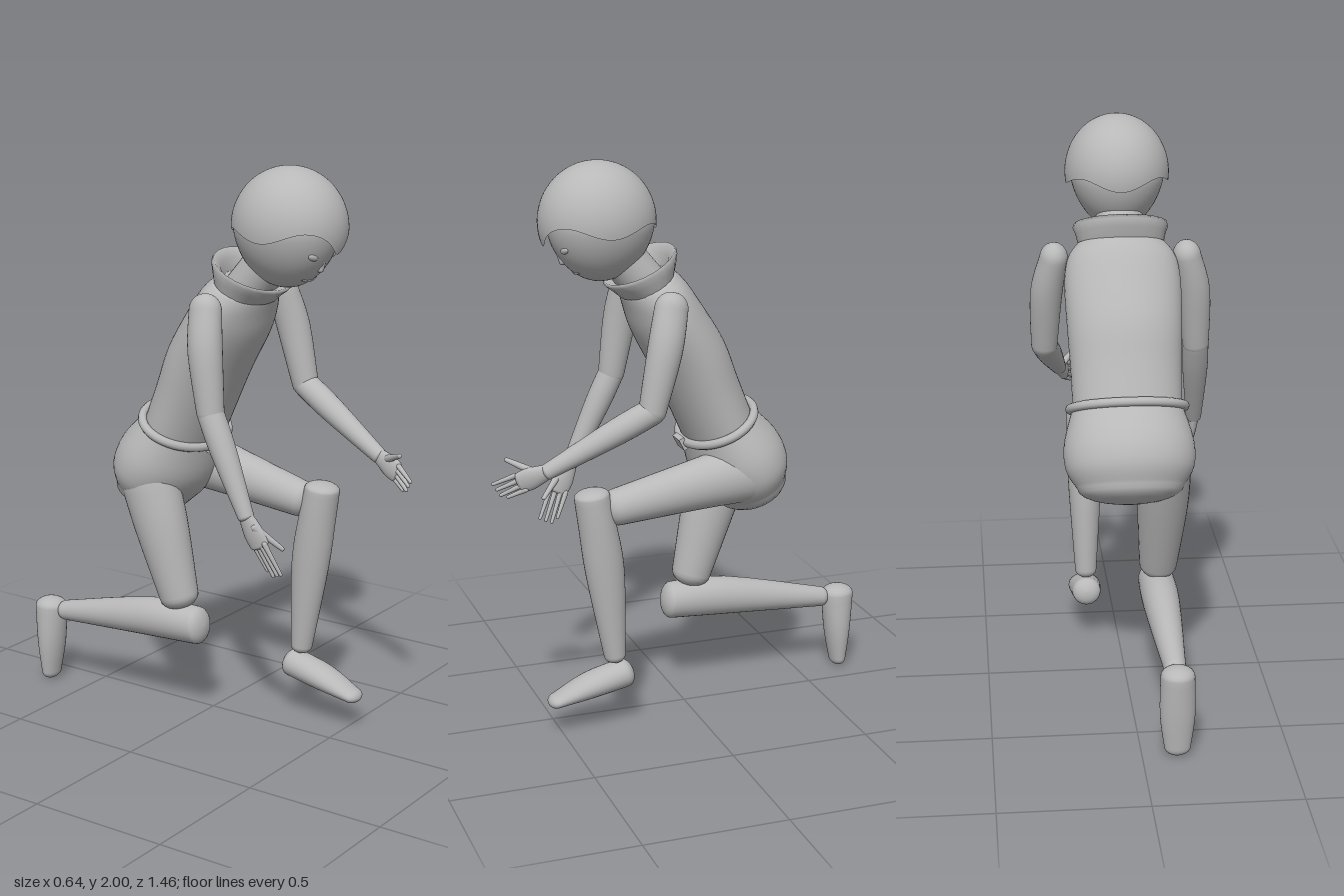
import * as THREE from 'three';
import { mergeVertices } from 'three/addons/utils/BufferGeometryUtils.js';

const V = (x, y, z) => new THREE.Vector3(x, y, z);
const UP = V(0, 0.889, 0.457);       // direction of the leaning spine
const FRONT = V(0, -0.457, 0.889);   // chest direction

// Smooth interpolation of station rows [x, y, z, radiusAcross, radiusDeep]
function refine(rows, steps) {
  const out = [];
  for (let i = 0; i < rows.length - 1; i++) {
    const [p, a, b, q] = [rows[Math.max(i - 1, 0)], rows[i], rows[i + 1], rows[Math.min(i + 2, rows.length - 1)]];
    for (let s = 0; s < steps; s++) {
      const t = s / steps;
      out.push(a.map((_, k) => 0.5 * (2 * a[k] + (b[k] - p[k]) * t + (2 * p[k] - 5 * a[k] + 4 * b[k] - q[k]) * t * t
        + (3 * a[k] - p[k] - 3 * b[k] + q[k]) * t * t * t)));
    }
  }
  out.push(rows[rows.length - 1]);
  return out;
}

// Closed body of elliptical rings with rounded ends
function loft(rows, round0, round1, { steps = 4, sides = 32, axis } = {}) {
  const first = rows[0], last = rows[rows.length - 1];
  const t = axis ? axis.clone() : V(last[0] - first[0], last[1] - first[1], last[2] - first[2]).normalize();
  const u = V(1, 0, 0).addScaledVector(t, -t.x).normalize();
  const v = t.clone().cross(u);
  const cap = (row, len) => [1, 2, 3, 4, 5, 6].map(k => {
    const a = k / 6 * Math.PI / 2, o = len * Math.sin(a), c = Math.max(Math.cos(a), 0.002);
    return [row[0] + t.x * o, row[1] + t.y * o, row[2] + t.z * o, row[3] * c, row[4] * c];
  });
  const all = [...cap(first, -round0).reverse(), ...refine(rows, steps), ...cap(last, round1)];
  const pos = [], idx = [];
  all.forEach(([x, y, z, ru, rv], i) => {
    for (let j = 0; j < sides; j++) {
      const a = j / sides * Math.PI * 2;
      const p = V(x, y, z).addScaledVector(u, ru * Math.cos(a)).addScaledVector(v, rv * Math.sin(a));
      pos.push(p.x, p.y, p.z);
      if (i < all.length - 1) {
        const A = i * sides + j, B = i * sides + (j + 1) % sides;
        idx.push(A, B, A + sides, B, B + sides, A + sides);
      }
    }
  });
  const g = new THREE.BufferGeometry();
  g.setAttribute('position', new THREE.Float32BufferAttribute(pos, 3));
  g.setIndex(idx);
  g.computeVertexNormals();
  return g;
}

// Weld a bent geometry so its shading has no seam
function weld(g) {
  g.deleteAttribute('uv');
  g.deleteAttribute('normal');
  const w = mergeVertices(g, 1e-5);
  w.computeVertexNormals();
  return w;
}

export function createModel() {
  const model = new THREE.Group();
  model.name = 'kneelingFigure';
  const grey = new THREE.MeshStandardMaterial({ color: 0xb8b8b8, side: THREE.DoubleSide });
  grey.name = 'light grey';
  const add = (name, g, parent = model) => {
    const m = new THREE.Mesh(g, grey);
    m.name = name;
    parent.add(m);
    return m;
  };
  const rod = (name, a, b, r0, r1, parent) =>
    add(name, loft([[a.x, a.y, a.z, r0, r0], [b.x, b.y, b.z, r1, r1]], r0, r1, { steps: 1, sides: 12 }), parent);

  // Trunk
  add('torso', loft([[0, 1.05, -0.12, 0.19, 0.125], [0, 1.18, -0.065, 0.193, 0.128], [0, 1.31, -0.01, 0.2, 0.132],
    [0, 1.45, 0.07, 0.204, 0.125], [0, 1.53, 0.11, 0.19, 0.112], [0, 1.57, 0.135, 0.16, 0.1]], 0.01, 0.025, { axis: UP, sides: 48 }));
  add('pelvis', loft([[0, 1.055, -0.12, 0.192, 0.128], [0, 0.95, -0.18, 0.225, 0.165], [0, 0.87, -0.225, 0.222, 0.16],
    [0, 0.81, -0.25, 0.185, 0.13]], 0.01, 0.06, { axis: UP.clone().negate(), sides: 48 }));
  add('neck', loft([[0, 1.55, 0.13, 0.09, 0.08], [0, 1.7, 0.25, 0.08, 0.075]], 0.01, 0.01));
  // Flared collar, hollow inside
  add('collar', loft([[0, 1.57, 0.14, 0.15, 0.1], [0, 1.605, 0.15, 0.158, 0.122], [0, 1.628, 0.16, 0.168, 0.137],
    [0, 1.64, 0.166, 0.164, 0.133], [0, 1.62, 0.157, 0.13, 0.1], [0, 1.585, 0.14, 0.1, 0.08]],
    0.005, 0, { axis: UP, steps: 1, sides: 24 }));

  // Belt
  const ring = Array.from({ length: 32 }, (_, i) => {
    const a = i / 32 * Math.PI * 2;
    return V(0.2 * Math.sin(a), 1.055, -0.12).addScaledVector(FRONT, 0.135 * Math.cos(a));
  });
  add('belt', new THREE.TubeGeometry(new THREE.CatmullRomCurve3(ring, true), 64, 0.016, 10, true));
  const buckle = add('buckle', new THREE.BoxGeometry(0.07, 0.045, 0.02));
  buckle.position.set(0, 0.99, 0.012);
  buckle.rotation.x = 0.475;

  // Head, narrowing towards the jaw
  const head = new THREE.Group();
  head.name = 'head';
  model.add(head);
  const jaw = h => 1 - 0.16 * Math.max(0, -h);
  const skull = new THREE.SphereGeometry(1, 48, 32);
  const sp = skull.attributes.position;
  for (let i = 0; i < sp.count; i++) {
    const y = sp.getY(i);
    sp.setXYZ(i, sp.getX(i) * 0.166 * jaw(y), 1.785 + y * 0.195, 0.3 + sp.getZ(i) * 0.186 * jaw(y * 0.6));
  }
  add('face', weld(skull), head);
  const onFace = (x, y, out = 0) => {
    const h = (y - 1.785) / 0.195;
    return V(x, y, out + 0.3 + 0.186 * jaw(h * 0.6) * Math.sqrt(Math.max(0, 1 - h * h - (x / 0.166 / jaw(h)) ** 2)));
  };

  // Hair cap with a wavy rim and a pointed fringe
  const cap = new THREE.SphereGeometry(1, 72, 24, 0, Math.PI * 2, 0, Math.PI / 2);
  const cp = cap.attributes.position;
  for (let i = 0; i < cp.count; i++) {
    const theta = Math.acos(THREE.MathUtils.clamp(cp.getY(i), -1, 1));
    const a = Math.atan2(cp.getX(i), cp.getZ(i));
    const rim = -0.08 - 0.09 * Math.cos(4 * a) - 0.2 * Math.exp(-((a / 0.25) ** 2));
    const th = theta * Math.acos(rim) / (Math.PI / 2), s = Math.sin(th);
    cp.setXYZ(i, 0.185 * s * Math.sin(a), 1.795 + 0.205 * Math.cos(th), 0.312 + 0.203 * s * Math.cos(a));
  }
  add('hair', weld(cap), head);

  // Face details
  for (const s of [-1, 1]) {
    const eye = add('eye', new THREE.SphereGeometry(1, 16, 10), head);
    eye.scale.set(0.021, 0.011, 0.008);
    eye.position.copy(onFace(s * 0.065, 1.712, -0.002));
    eye.rotation.set(0.4, s * 0.4, s * 0.2);
  }
  rod('nose', onFace(0, 1.69, -0.008), onFace(0, 1.665, -0.004), 0.008, 0.013, head);
  const lips = [-0.045, -0.02, 0, 0.02, 0.045].map(x => onFace(x, 1.622 + x * x * 4));
  add('mouth', new THREE.TubeGeometry(new THREE.CatmullRomCurve3(lips), 16, 0.004, 6), head);

  // Arms: shoulder, elbow, wrist, knuckles, fingertips, width of the hand, thumb tip
  const arms = [
    ['left', V(0.245, 1.53, 0.13), V(0.27, 1.19, 0.21), V(0.2, 0.995, 0.56), V(0.172, 0.958, 0.645), V(0.135, 0.92, 0.71),
      V(0.3, -0.8, -0.5), V(0.13, 1.03, 0.68)],
    ['right', V(-0.24, 1.53, 0.13), V(-0.273, 1.19, 0.18), V(-0.288, 0.86, 0.335), V(-0.278, 0.765, 0.385), V(-0.252, 0.66, 0.43),
      V(0.3, -0.35, -0.85), V(-0.24, 0.755, 0.45)],
  ];
  for (const [side, sh, el, wr, kn, tip, w, thumb] of arms) {
    const arm = new THREE.Group();
    arm.name = side + 'Arm';
    model.add(arm);
    const mid = sh.clone().lerp(el, 0.4);
    add('upperArm', loft([[sh.x - Math.sign(sh.x) * 0.008, sh.y, sh.z, 0.05, 0.058], [mid.x + Math.sign(sh.x) * 0.008, mid.y, mid.z, 0.057, 0.06],
      [el.x, el.y, el.z, 0.047, 0.047]], 0.055, 0.04), arm);
    const fm = el.clone().lerp(wr, 0.35);
    add('forearm', loft([[...el.toArray(), 0.046, 0.046], [...fm.toArray(), 0.045, 0.045], [...wr.toArray(), 0.028, 0.028]], 0.04, 0.015), arm);
    add('palm', loft([[...wr.toArray(), 0.02, 0.027], [...wr.clone().lerp(kn, 0.6).toArray(), 0.018, 0.04], [...kn.toArray(), 0.014, 0.038]],
      0.01, 0.012, { sides: 20 }), arm);
    for (let k = 0; k < 4; k++) {
      const o = (k - 1.5) * 0.02;
      const end = tip.clone().addScaledVector(w, o * 1.15).lerp(kn, k === 3 ? 0.2 : 0);
      rod('finger', kn.clone().addScaledVector(w, o), end, 0.0095, 0.006, arm);
    }
    rod('thumb', wr.clone().lerp(kn, 0.4).addScaledVector(w, -0.02), thumb, 0.014, 0.008, arm);
  }

  // Left leg, foot forward with the knee raised
  add('leftThigh', loft([[0.13, 0.9, -0.2, 0.095, 0.11], [0.125, 0.867, 0, 0.08, 0.09], [0.12, 0.816, 0.29, 0.064, 0.065]], 0.05, 0.05));
  add('leftShin', loft([[0.12, 0.865, 0.38, 0.063, 0.062], [0.12, 0.76, 0.362, 0.065, 0.066], [0.12, 0.58, 0.335, 0.06, 0.069],
    [0.12, 0.27, 0.303, 0.04, 0.039]], 0.025, 0.03));
  add('leftFoot', loft([[0.12, 0.195, 0.27, 0.053, 0.052], [0.12, 0.165, 0.4, 0.06, 0.045], [0.12, 0.125, 0.52, 0.045, 0.024]], 0.035, 0.03));

  // Right leg, kneeling with the shin behind
  add('rightThigh', loft([[-0.125, 0.86, -0.19, 0.09, 0.11], [-0.122, 0.7, -0.14, 0.089, 0.1], [-0.115, 0.45, -0.07, 0.068, 0.072]], 0.05, 0.05));
  add('rightShin', loft([[-0.115, 0.352, 0.01, 0.064, 0.068], [-0.115, 0.343, -0.2, 0.065, 0.071], [-0.118, 0.285, -0.59, 0.038, 0.037]], 0.035, 0.03));
  add('rightFoot', loft([[-0.12, 0.29, -0.662, 0.058, 0.06], [-0.12, 0.15, -0.663, 0.06, 0.048], [-0.12, 0.03, -0.667, 0.045, 0.03]], 0.035, 0.03));

  return model;
}
